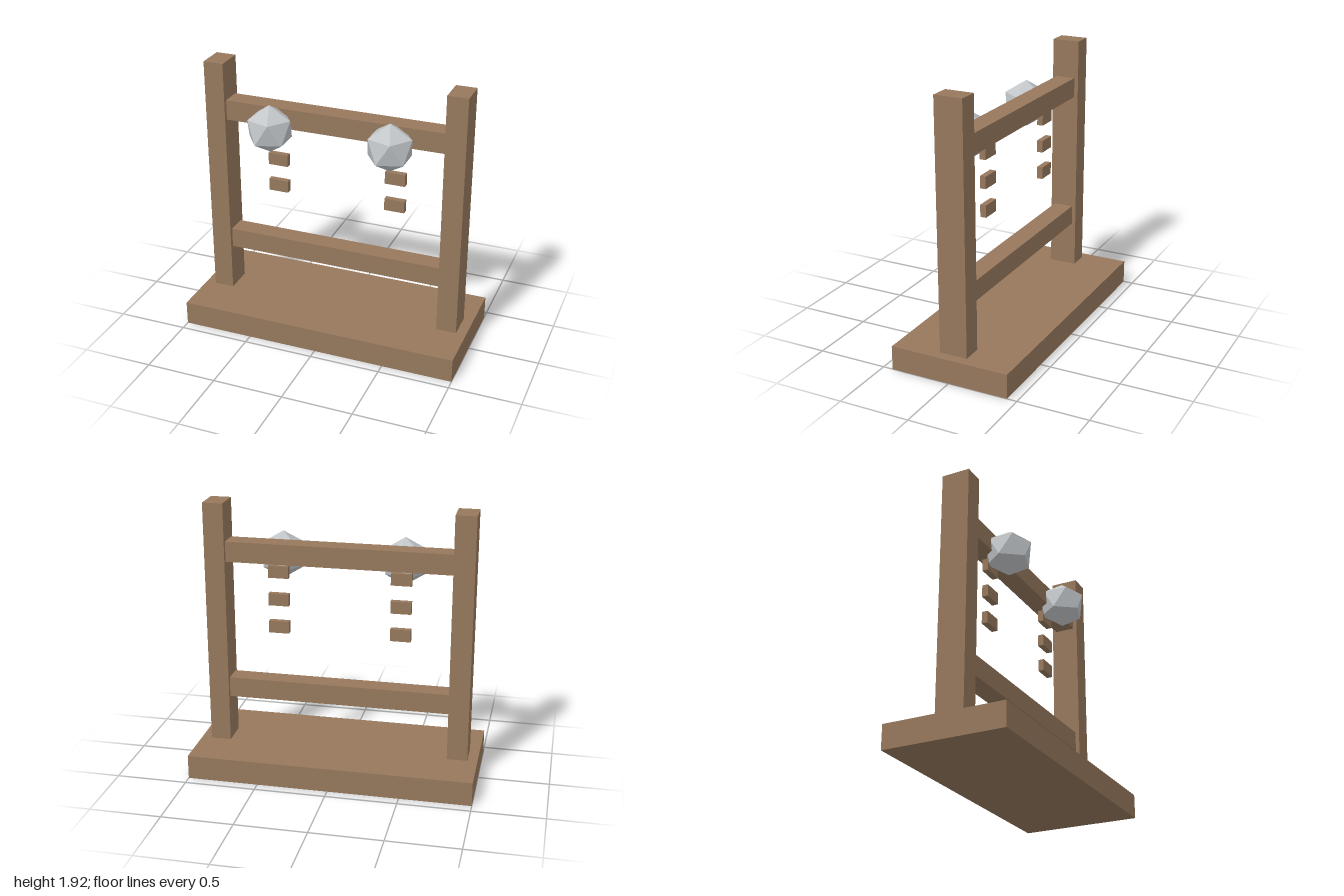
import * as THREE from 'three';

export function createModel() {
  const model = new THREE.Group();
  model.name = 'weaponRack';

  const wood = new THREE.MeshStandardMaterial({ color: 0x96785c });
  wood.name = 'brown wood';
  const stone = new THREE.MeshStandardMaterial({ color: 0xc2c6c9 });
  stone.name = 'pale grey stone';
  stone.flatShading = true;

  const add = (name, geometry, material, x, y, z) => {
    const mesh = new THREE.Mesh(geometry, material);
    mesh.name = name;
    mesh.position.set(x, y, z);
    model.add(mesh);
  };
  const box = (name, w, h, d, x, y, z = 0) =>
    add(name, new THREE.BoxGeometry(w, h, d), wood, x, y, z);

  // Base slab
  box('base', 2, 0.171, 0.857, 0, 0.0857, 0);

  // Horizontal rails between the posts
  box('lowerRail', 1.572, 0.143, 0.143, 0, 0.572);
  box('upperRail', 1.572, 0.143, 0.143, 0, 1.572);

  // Icosahedron turned to stand on a vertex
  const head = new THREE.IcosahedronGeometry(0.17, 0);
  head.rotateZ(-Math.atan(2 / (1 + Math.sqrt(5))));

  for (const [side, s] of [['left', 1], ['right', -1]]) {
    // Upright post
    box(side + 'Post', 0.143, 1.745, 0.2, s * 0.857, 1.0435);

    // Column of three short pegs, the top one behind the head
    for (let i = 0; i < 3; i++) {
      box(side + 'Peg' + (i + 1), 0.143, 0.0857, 0.043, s * 0.4286, 1.032 + i * 0.2);
    }

    // Faceted head in front of the upper rail
    add(side + 'Head', head, stone, s * 0.4286, 1.518, 0.143);
  }

  return model;
}
